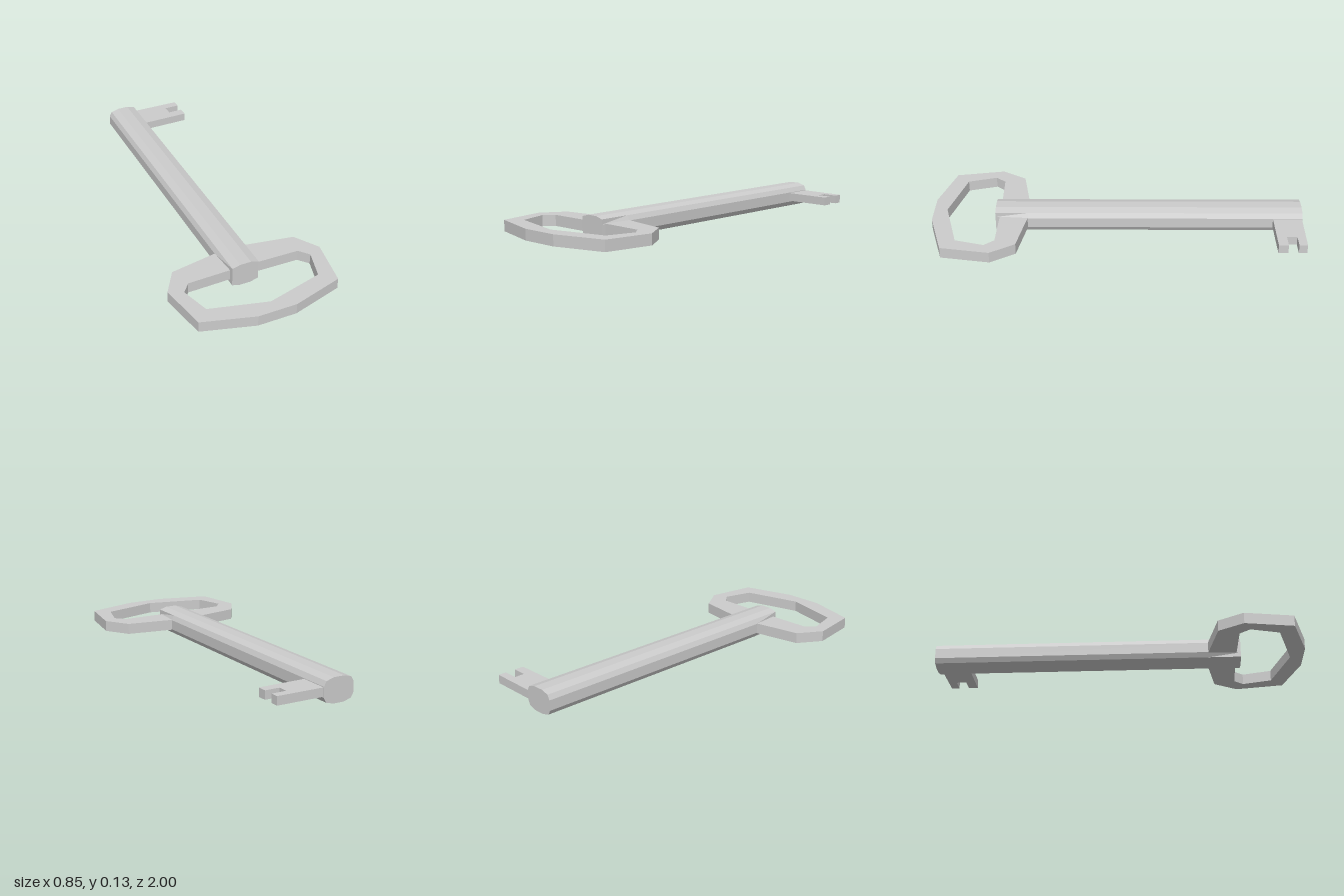
import * as THREE from 'three';

const material = new THREE.MeshStandardMaterial({ color: 0xcccccc, flatShading: true });

const toPoints = (list) => list.map(([a, b]) => new THREE.Vector2(a, b));

// Adds the mirror image in x, closing the outline
const mirrored = (half) => [...half, ...half.filter(([x]) => x !== 0).map(([x, b]) => [-x, b]).reverse()];

// Flat plate from an outline in x and z, between two heights
function plate(name, outline, bottom, top, hole) {
  const shape = new THREE.Shape(toPoints(outline));
  if (hole) shape.holes.push(new THREE.Path(toPoints(hole)));
  const geometry = new THREE.ExtrudeGeometry(shape, { depth: top - bottom, bevelEnabled: false });
  geometry.rotateX(Math.PI / 2).translate(0, top, 0);
  const mesh = new THREE.Mesh(geometry, material);
  mesh.name = name;
  return mesh;
}

// Faceted bar whose side ridges pinch in where it passes through the bow
function shaft() {
  const section = mirrored([[0.03, 0], [0.073, 0.012], [0.087, 0.037], [0.087, 0.092], [0.073, 0.118], [0.03, 0.13]]);
  const geometry = new THREE.ExtrudeGeometry(new THREE.Shape(toPoints(section)), { depth: 2, steps: 2, bevelEnabled: false });
  const stations = [-1, 0.485, 0.66];
  const p = geometry.attributes.position;
  for (let i = 0; i < p.count; i++) {
    const k = Math.round(p.getZ(i));
    p.setZ(i, stations[k]);
    if (k === 2) p.setX(i, THREE.MathUtils.clamp(p.getX(i), -0.073, 0.073));
  }
  geometry.computeVertexNormals();
  const mesh = new THREE.Mesh(geometry, material);
  mesh.name = 'shaft';
  return mesh;
}

export function createModel() {
  const key = new THREE.Group();
  key.name = 'key';
  key.add(shaft());

  // Angular ring handle
  const outer = mirrored([[0.085, 0.485], [0.345, 0.53], [0.427, 0.66], [0.382, 0.92], [0.105, 1]]);
  const inner = mirrored([[0.07, 0.637], [0.308, 0.642], [0.353, 0.695], [0.308, 0.85], [0, 0.93]]);
  key.add(plate('bow', outer, 0.035, 0.094, inner));

  // Notched tooth at the far end
  key.add(plate('bit', [
    [0.07, -0.998], [0.345, -0.992], [0.345, -0.948], [0.265, -0.948],
    [0.265, -0.893], [0.345, -0.893], [0.345, -0.841], [0.07, -0.841],
  ], 0.043, 0.089));
  return key;
}
